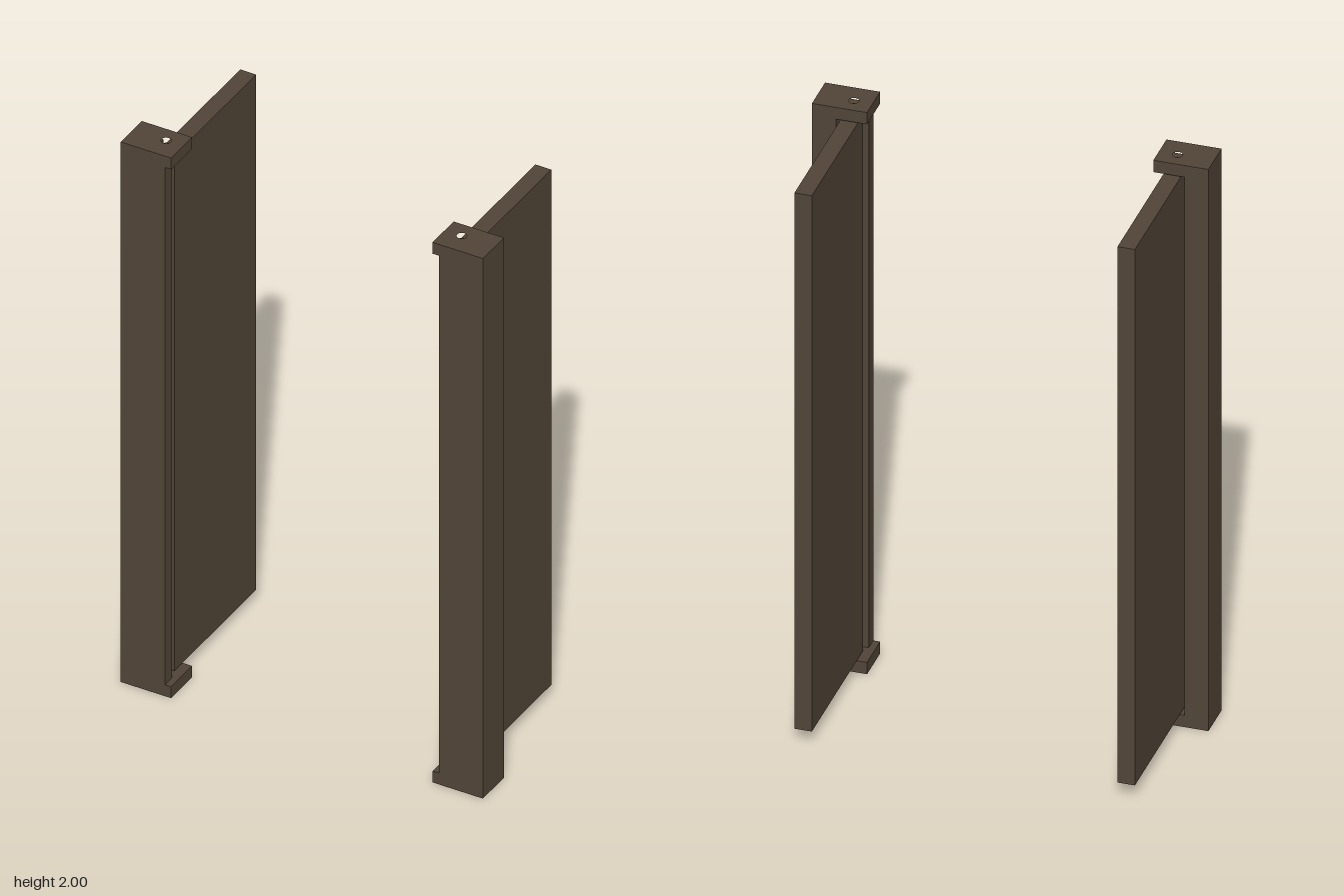
import * as THREE from 'three';

const wood = new THREE.MeshStandardMaterial({ color: 0x524538 });
wood.name = 'dark brown';

const HINGE = { x: 0.52, z: 0.215 };
const CAP = 0.042;

// Extrudes a plan outline of [x, z] points from y0 to y1, with an optional round hole at the hinge axis.
function plan(name, points, y0, y1, holeRadius = 0) {
  // Shape y is -z, so that turning the extrusion upright restores z.
  const shape = new THREE.Shape(points.map(([x, z]) => new THREE.Vector2(x, -z)));
  if (holeRadius) {
    const hole = new THREE.Path();
    hole.absarc(HINGE.x, -HINGE.z, holeRadius, 0, Math.PI * 2, true);
    shape.holes.push(hole);
  }
  const geometry = new THREE.ExtrudeGeometry(shape, { depth: y1 - y0, bevelEnabled: false, curveSegments: 12 });
  geometry.rotateX(-Math.PI / 2).translate(0, y0, 0);
  const mesh = new THREE.Mesh(geometry, wood);
  mesh.name = name;
  return mesh;
}

// Mirrors a mesh's geometry across x, reversing the corner order.
function mirrorX(mesh) {
  const g = mesh.geometry.index ? mesh.geometry.toNonIndexed() : mesh.geometry;
  g.scale(-1, 1, 1);
  for (const attribute of Object.values(g.attributes)) {
    const n = attribute.itemSize, a = attribute.array;
    for (let i = 0; i < a.length; i += n * 3) {
      for (let k = 0; k < n; k++) [a[i + n + k], a[i + 2 * n + k]] = [a[i + 2 * n + k], a[i + n + k]];
    }
  }
  g.computeVertexNormals();
  mesh.geometry = g;
}

function rect(x0, x1, z0, z1) {
  return [[x0, z0], [x1, z0], [x1, z1], [x0, z1]];
}

function shutter(side) {
  const group = new THREE.Group();
  group.name = side + 'DoorAndPost';

  // L-shaped post with a front lip covering the hinge edge
  group.add(plan('post', [
    [0.637, 0.16], [0.637, 0.29], [0.482, 0.29], [0.482, 0.245], [0.56, 0.245], [0.56, 0.16],
  ], CAP, 2 - CAP));

  // End caps bored for the hinge pins
  const capOutline = rect(0.46, 0.637, 0.16, 0.29);
  group.add(plan('bottomCap', capOutline, 0, CAP, 0.016));
  group.add(plan('topCap', capOutline, 2 - CAP, 2, 0.016));

  // Swinging panel
  group.add(plan('panel', rect(0.491, 0.547, -0.29, HINGE.z), 0.046, 1.954));

  // Hinge pins reaching from the panel into the caps
  for (const [name, y] of [['bottomPin', 0.04], ['topPin', 1.96]]) {
    const geometry = new THREE.CylinderGeometry(0.011, 0.011, 0.05, 16);
    geometry.translate(HINGE.x, y, HINGE.z);
    const pin = new THREE.Mesh(geometry, wood);
    pin.name = name;
    group.add(pin);
  }

  if (side === 'right') group.children.forEach(mirrorX);
  return group;
}

export function createModel() {
  const model = new THREE.Group();
  model.name = 'pairOfDoors';
  model.add(shutter('left'), shutter('right'));
  return model;
}
